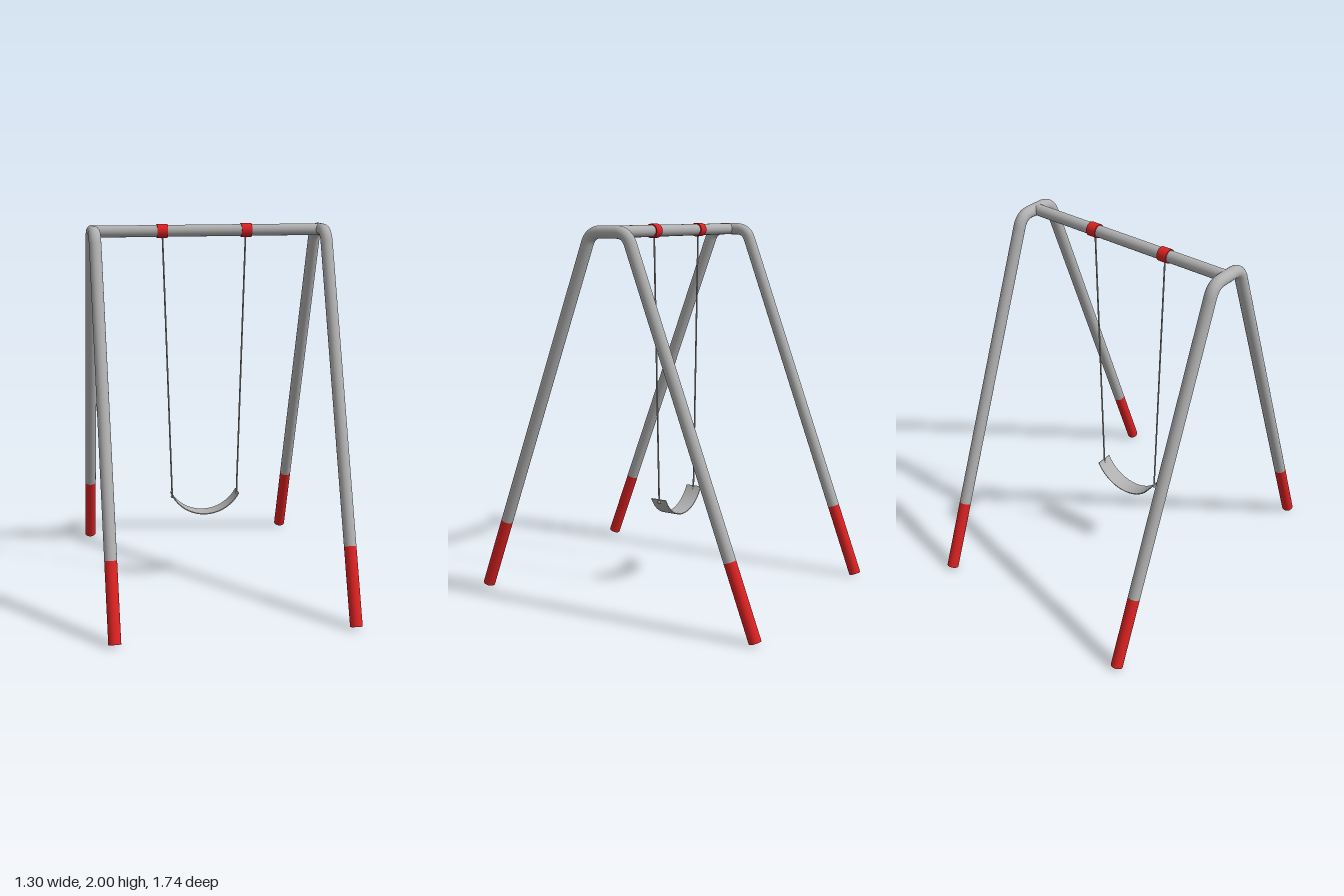
import * as THREE from 'three';
import { toCreasedNormals } from 'three/addons/utils/BufferGeometryUtils.js';

const steel = new THREE.MeshStandardMaterial({ color: 0xb0b0b0 });
steel.name = 'steel grey';
const red = new THREE.MeshStandardMaterial({ color: 0xdc2222 });
red.name = 'red';

const R = 0.032;        // frame pipe radius
const TOP = 1.963;      // height of the crossbar axis
const SIDE_X = 0.616;   // position of the side frames
const V = (x, y, z) => new THREE.Vector3(x, y, z);

export function createModel() {
  const model = new THREE.Group();
  model.name = 'swingSet';

  const add = (name, geometry, material, parent = model) => {
    const mesh = new THREE.Mesh(geometry, material);
    mesh.name = name;
    parent.add(mesh);
    return mesh;
  };

  // Straight round bar between two points
  const bar = (name, a, b, radius, material, parent = model, sides = 24) => {
    const mesh = add(name, new THREE.CylinderGeometry(radius, radius, a.distanceTo(b), sides), material, parent);
    mesh.position.copy(a).lerp(b, 0.5);
    mesh.quaternion.setFromUnitVectors(V(0, 1, 0), b.clone().sub(a).normalize());
    return mesh;
  };

  // A-shaped side frames: bent top, two legs, red feet
  const slope = 0.375;
  const corner = 0.108;
  const legZ = (y) => corner + (TOP - y) * slope;
  const flatZ = 0.048;
  const bendY = TOP - 0.058;
  const footY = 0.393;
  const endY = 0.011;
  for (const s of [-1, 1]) {
    const frame = new THREE.Group();
    frame.name = s > 0 ? 'leftFrame' : 'rightFrame';
    frame.position.x = s * SIDE_X;
    model.add(frame);

    const path = new THREE.CurvePath();
    path.add(new THREE.QuadraticBezierCurve3(V(0, bendY, legZ(bendY)), V(0, TOP, corner), V(0, TOP, flatZ)));
    path.add(new THREE.LineCurve3(V(0, TOP, flatZ), V(0, TOP, -flatZ)));
    path.add(new THREE.QuadraticBezierCurve3(V(0, TOP, -flatZ), V(0, TOP, -corner), V(0, bendY, -legZ(bendY))));
    add('topBend', new THREE.TubeGeometry(path, 40, R, 24), steel, frame);

    for (const f of [1, -1]) {
      const end = f > 0 ? 'front' : 'back';
      const at = (y) => V(0, y, f * legZ(y));
      bar(end + 'Leg', at(footY), at(bendY), R, steel, frame);
      bar(end + 'Foot', at(endY), at(footY), R, red, frame);
    }
  }

  // Crossbar
  bar('crossbar', V(-SIDE_X, TOP, 0), V(SIDE_X, TOP, 0), R - 0.001, steel);

  // Swing: sleeves, ropes and knots on both sides of its centre
  const midX = -0.024;
  for (const s of [-1, 1]) {
    const side = s > 0 ? 'left' : 'right';
    const x = midX + s * 0.2275;
    bar(side + 'Sleeve', V(x - 0.028, TOP, 0), V(x + 0.028, TOP, 0), 0.037, red);
    const knot = V(midX + s * 0.183, 0.49, 0);
    bar(side + 'Rope', V(midX + s * 0.225, TOP - 0.03, 0), knot, 0.0045, steel, model, 10);
    add(side + 'Knot', new THREE.SphereGeometry(0.009, 12, 8), steel).position.copy(knot);
  }

  // Curved strap seat
  const seatR = 0.214;
  const half = 1.09;
  const a0 = -Math.PI / 2 - half;
  const a1 = -Math.PI / 2 + half;
  const strap = new THREE.Shape();
  strap.absarc(0, 0, seatR, a0, a1, false);
  strap.absarc(0, 0, seatR - 0.005, a1, a0, true);
  const seatGeo = new THREE.ExtrudeGeometry(strap, { depth: 0.094, bevelEnabled: false, curveSegments: 28 });
  seatGeo.translate(midX, 0.39 + seatR, -0.047);
  add('seat', toCreasedNormals(seatGeo, 0.6), steel);

  return model;
}
